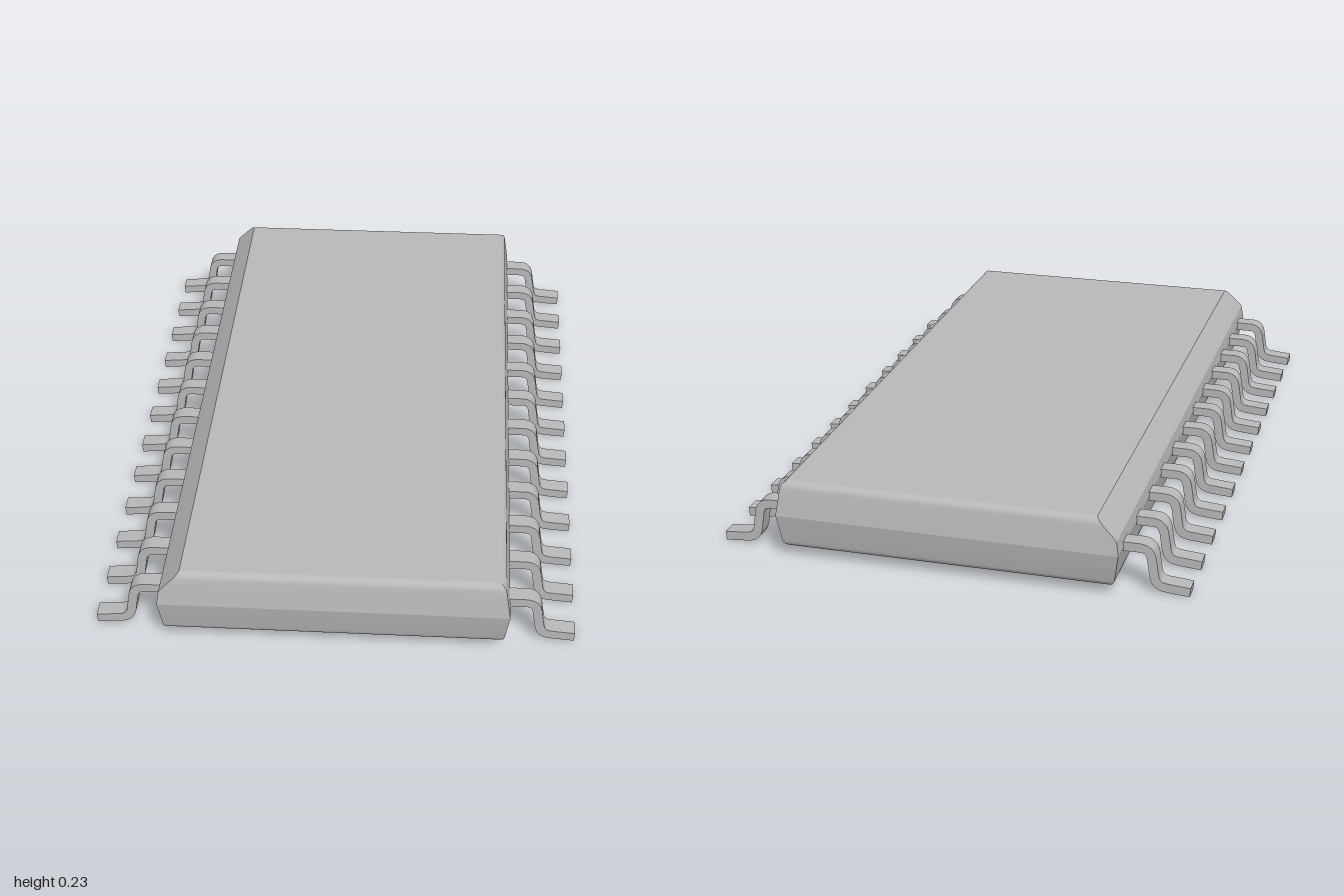
import * as THREE from 'three';
import { mergeGeometries, toCreasedNormals } from 'three/addons/utils/BufferGeometryUtils.js';

const LEADS = 12, PITCH = 0.165, LEAD_WIDTH = 0.05, LEAD_THICKNESS = 0.026;

// Height and inset of each level of the moulded body: rounded edges, widest at mid height
function bodyLevels() {
  const half = [], steps = 6, r = 0.024;
  for (let i = 0; i <= steps; i++) {
    const a = (i / steps) * THREE.MathUtils.degToRad(81);
    half.push([0.03 + r - r * Math.cos(a), 0.036 - r * Math.sin(a)]);
  }
  const upper = half.map(([y, inset]) => [0.26 - y, inset]).reverse();
  return [...half, [0.13, 0], [0.162, 0.005], [0.17, 0.0062], [0.178, 0.0074], ...upper];
}

function bodyGeometry() {
  const positions = [], index = [];
  const levels = bodyLevels();
  levels.forEach(([y, inset], k) => {
    const right = 0.487 - inset, z = 1 - inset;
    // The -x upper edge is cut back by a chamfer that marks the first pin
    const last = k === levels.length - 1 ? 0.006 : 0;
    const left = Math.min(right, 0.478 - (y - 0.174) - last);
    positions.push(right, y, z, right, y, -z, -left, y, -z, -left, y, z);
    if (k === 0) return;
    for (let i = 0; i < 4; i++) {
      const j = (i + 1) % 4, lo = (k - 1) * 4, hi = k * 4;
      index.push(lo + i, lo + j, hi + j, lo + i, hi + j, hi + i);
    }
  });
  const attribute = new THREE.Float32BufferAttribute(positions, 3);
  const surface = (faces, crease) => {
    const g = new THREE.BufferGeometry();
    g.setAttribute('position', attribute);
    g.setIndex(faces);
    g.computeVertexNormals();
    return toCreasedNormals(g, crease);
  };
  // Flat top and bottom are kept apart from the rounded walls
  const t = (levels.length - 1) * 4;
  const caps = surface([t, t + 1, t + 2, t, t + 2, t + 3, 0, 2, 1, 0, 3, 2], 0.1);
  return mergeGeometries([surface(index, 0.27), caps]);
}

// Gull-wing lead: a bent strip thickened to both sides of its centreline
function leadGeometry() {
  const v = (x, y) => new THREE.Vector2(x, y);
  const path = new THREE.CurvePath();
  path.add(new THREE.LineCurve(v(0.46, 0.13), v(0.53, 0.13)));
  path.add(new THREE.CubicBezierCurve(v(0.53, 0.13), v(0.551, 0.13), v(0.561, 0.12), v(0.564, 0.1)));
  path.add(new THREE.LineCurve(v(0.564, 0.1), v(0.571, 0.054)));
  path.add(new THREE.CubicBezierCurve(v(0.571, 0.054), v(0.575, 0.03), v(0.585, 0.022), v(0.607, 0.02)));
  path.add(new THREE.LineCurve(v(0.607, 0.02), v(0.671, 0.0145)));

  const upper = [], lower = [];
  path.curves.forEach((curve, c) => {
    const n = curve.isLineCurve ? 1 : 8;
    for (let i = c ? 1 : 0; i <= n; i++) {
      const p = curve.getPoint(i / n), d = curve.getTangent(i / n);
      const offset = v(-d.y, d.x).multiplyScalar(LEAD_THICKNESS / 2);
      upper.push(p.clone().add(offset));
      lower.push(p.clone().sub(offset));
    }
  });
  const shape = new THREE.Shape([...lower, ...upper.reverse()]);
  const g = new THREE.ExtrudeGeometry(shape, { depth: LEAD_WIDTH, bevelEnabled: false });
  g.translate(0, 0, -LEAD_WIDTH / 2);
  return toCreasedNormals(g, 0.5);
}

export function createModel() {
  const model = new THREE.Group();
  model.name = 'chipPackage';
  const grey = new THREE.MeshStandardMaterial({ color: 0xb8b8b8 });
  grey.name = 'grey';

  const body = new THREE.Mesh(bodyGeometry(), grey);
  body.name = 'body';
  model.add(body);

  // A row of leads along each long side
  const lead = leadGeometry();
  for (const side of ['left', 'right']) {
    const row = new THREE.Group();
    row.name = side + 'Leads';
    for (let i = 0; i < LEADS; i++) {
      const mesh = new THREE.Mesh(lead, grey);
      mesh.name = side + 'Lead' + (i + 1);
      mesh.position.z = (i - (LEADS - 1) / 2) * PITCH;
      row.add(mesh);
    }
    if (side === 'right') row.rotation.y = Math.PI;
    model.add(row);
  }
  return model;
}
